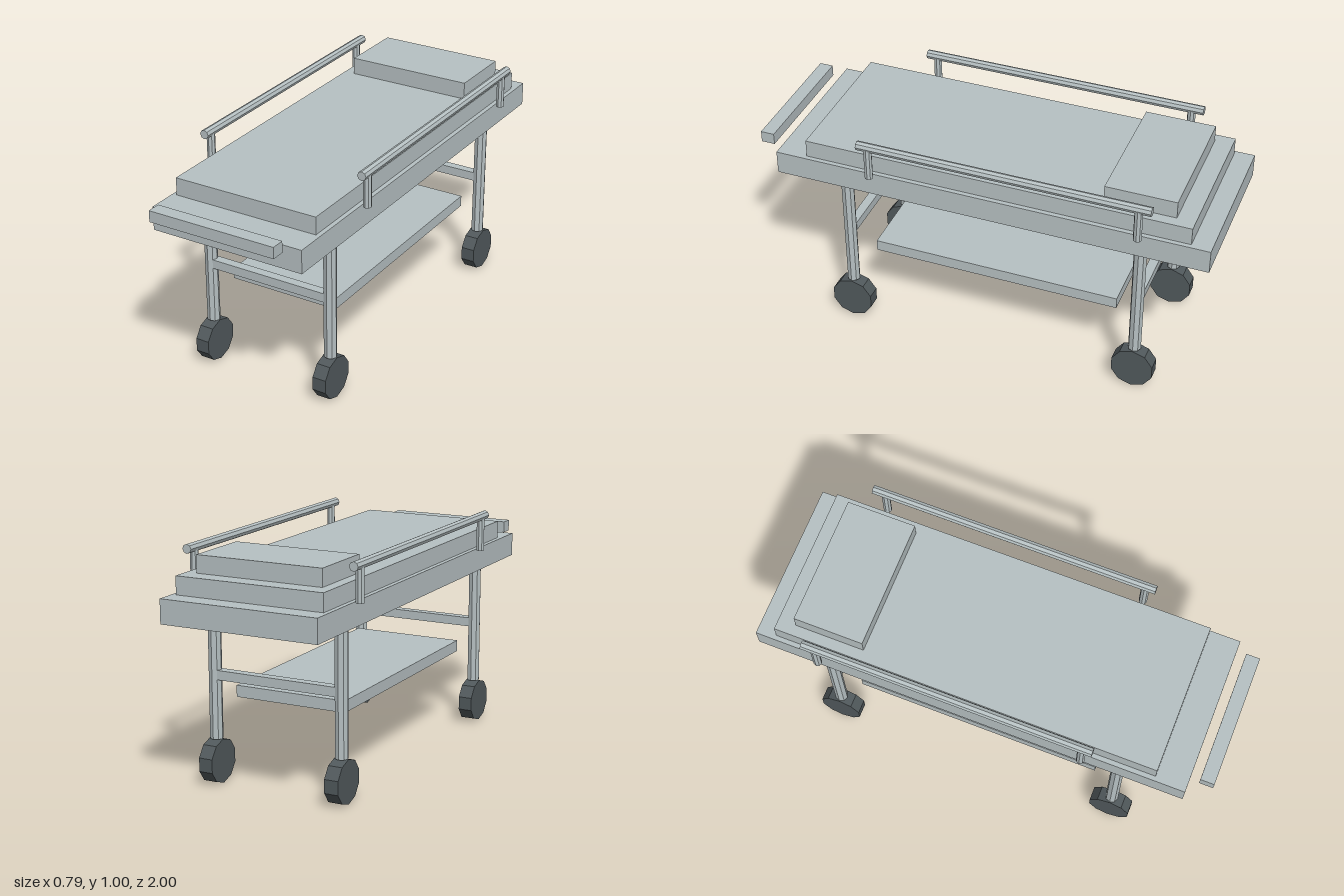
import * as THREE from 'three';

export function createModel() {
  const root = new THREE.Group();
  root.name = 'wheeledStretcher';

  const steel = new THREE.MeshStandardMaterial({ color: 0xb7c1c3 });
  steel.name = 'pale steel grey';
  const rubber = new THREE.MeshStandardMaterial({ color: 0x51595c });
  rubber.name = 'dark rubber grey';

  function add(name, geometry, material, parent = root) {
    const mesh = new THREE.Mesh(geometry, material);
    mesh.name = name;
    parent.add(mesh);
    return mesh;
  }

  // Box given by its half width and its y and z ranges, centred on x
  function slab(name, halfW, y0, y1, z0, z1) {
    const mesh = add(name, new THREE.BoxGeometry(halfW * 2, y1 - y0, z1 - z0), steel);
    mesh.position.set(0, (y0 + y1) / 2, (z0 + z1) / 2);
  }

  // Faceted cylinder; toNonIndexed + recomputed normals give flat sides
  function prism(radius, length, sides) {
    const g = new THREE.CylinderGeometry(radius, radius, length, sides).toNonIndexed();
    g.computeVertexNormals();
    return g;
  }

  // Bed, bedding, lower shelf and push handle
  slab('deck', 0.35, 0.725, 0.828, -1, 0.9);
  slab('mattress', 0.33, 0.828, 0.905, -0.915, 0.767);
  slab('pillow', 0.283, 0.905, 0.98, -0.837, -0.533);
  slab('shelf', 0.253, 0.34, 0.39, -0.6, 0.5);
  slab('pushHandle', 0.29, 0.82, 0.87, 0.94, 1);

  // Legs with wheels, joined by a crossbar at each end
  const legGeo = prism(0.028, 0.54, 8);
  const wheelGeo = prism(0.0945, 0.062, 10).rotateZ(Math.PI / 2).rotateX(Math.PI / 2);
  for (const z of [0.603, -0.7]) {
    slab('crossbar', 0.273, 0.44, 0.48, z - 0.02, z + 0.02);
    for (const side of [-1, 1]) {
      add('leg', legGeo, steel).position.set(side * 0.291, 0.455, z);
      add('wheel', wheelGeo, rubber).position.set(side * 0.291, 0.09, z);
    }
  }

  // Side rails on two posts each
  const railGeo = prism(0.02, 1.265, 8).rotateX(Math.PI / 2);
  const postGeo = prism(0.018, 0.152, 8);
  for (const side of [-1, 1]) {
    const rail = new THREE.Group();
    rail.name = side > 0 ? 'leftRail' : 'rightRail';
    root.add(rail);
    add('railBar', railGeo, steel, rail).position.set(side * 0.376, 0.98, -0.128);
    for (const z of [0.458, -0.706]) {
      add('railPost', postGeo, steel, rail).position.set(side * 0.376, 0.904, z);
    }
  }

  return root;
}
